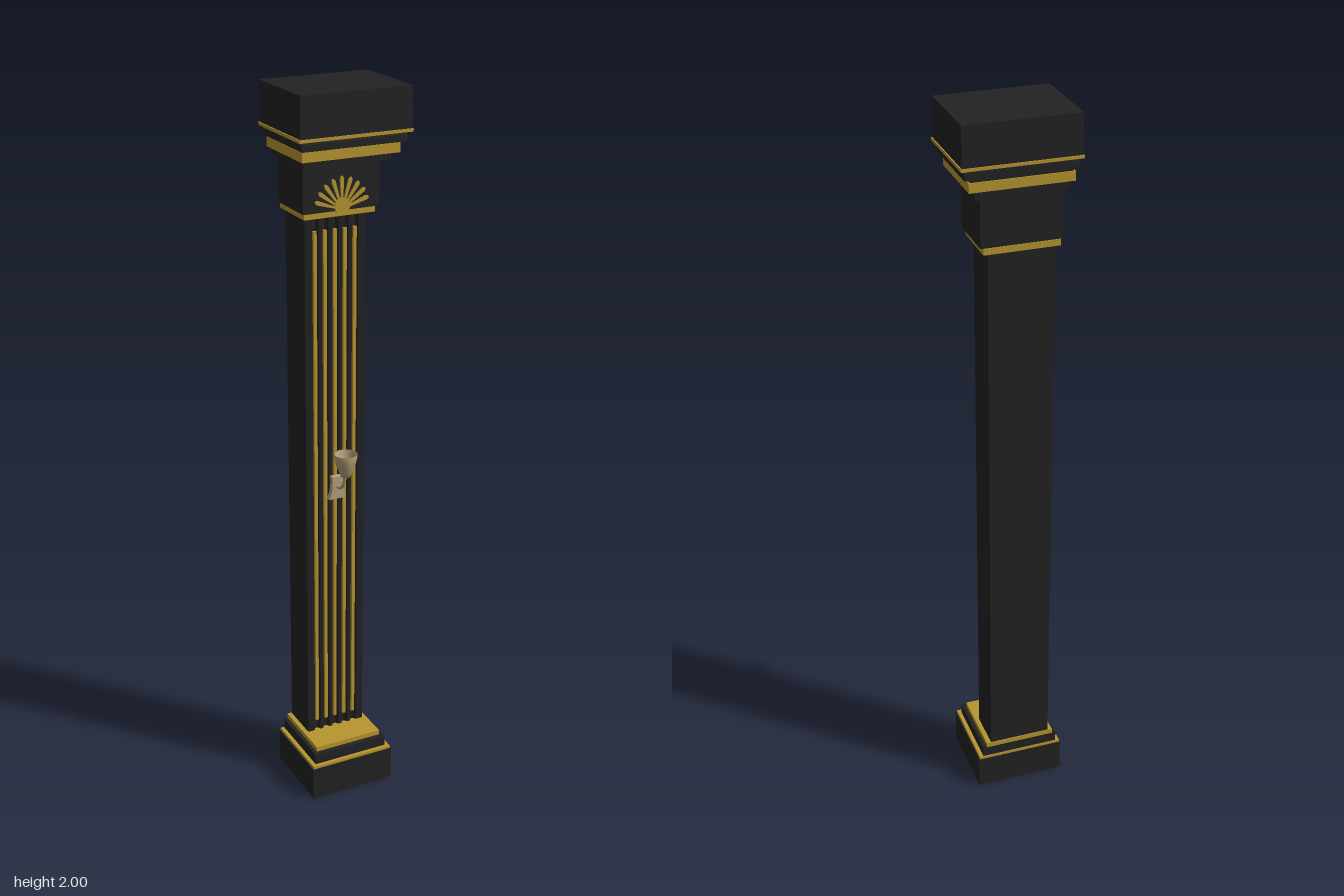
import * as THREE from 'three';

export function createModel() {
  const root = new THREE.Group();
  const black = new THREE.MeshStandardMaterial({ color: 0x222222 });
  black.name = 'black';
  const gold = new THREE.MeshStandardMaterial({ color: 0xb8962f });
  gold.name = 'gold';
  const cream = new THREE.MeshStandardMaterial({ color: 0xb5a17c, side: THREE.DoubleSide });
  cream.name = 'cream';

  const add = (name, geo, mat, parent = root) => {
    const mesh = new THREE.Mesh(geo, mat);
    mesh.name = name;
    parent.add(mesh);
    return mesh;
  };

  // Stacked slabs: name, half width, bottom, top, back z, front z, material
  const slabs = [
    ['plinth', 0.125, 0, 0.096, -0.116, 0.112, black],
    ['plinthTrim', 0.122, 0.096, 0.104, -0.1165, 0.109, gold],
    ['baseStep', 0.111, 0.104, 0.134, -0.114, 0.098, black],
    ['baseTrim', 0.1, 0.134, 0.148, -0.1145, 0.083, gold],
    ['neckTrim', 0.1, 1.67, 1.687, -0.117, 0.026, gold],
    ['capitalBlock', 0.107, 1.687, 1.811, -0.115, 0.035, black],
    ['capitalStep', 0.121, 1.811, 1.832, -0.115, 0.07, black],
    ['capitalTrim', 0.135, 1.832, 1.857, -0.117, 0.092, gold],
    ['corniceCore', 0.131, 1.857, 1.888, -0.114, 0.09, black],
    ['corniceStep', 0.145, 1.863, 1.88, -0.116, 0.113, black],
    ['corniceTrim', 0.155, 1.887, 1.895, -0.121, 0.121, gold],
    ['topBlock', 0.152, 1.895, 2, -0.118, 0.118, black],
  ];
  for (const [name, hw, y0, y1, z0, z1, mat] of slabs) {
    add(name, new THREE.BoxGeometry(hw * 2, y1 - y0, z1 - z0), mat)
      .position.set(0, (y0 + y1) / 2, (z0 + z1) / 2);
  }

  // Shaft with five rounded flutes along its front
  const flutes = [-2, -1, 0, 1, 2].map(i => i * 0.0285);
  const plan = new THREE.Shape();
  plan.moveTo(-0.087, 0.112);
  plan.lineTo(-0.087, 0);
  for (const x of flutes) {
    plan.lineTo(x - 0.009, 0);
    plan.absarc(x, 0, 0.009, Math.PI, 0, true);
  }
  plan.lineTo(0.087, 0);
  plan.lineTo(0.087, 0.112);
  const shaftGeo = new THREE.ExtrudeGeometry(plan, { depth: 1.524, bevelEnabled: false, curveSegments: 8 });
  shaftGeo.rotateX(-Math.PI / 2);
  const shaft = add('shaft', shaftGeo, black);
  shaft.position.y = 0.147;

  // Gold inlay rods lying in the flutes
  for (const x of flutes) {
    add('fluteInlay', new THREE.BoxGeometry(0.009, 1.45, 0.008), gold).position.set(x, 0.905, -0.004);
  }

  // Fan ornament on the capital
  const fan = new THREE.Group();
  fan.name = 'fanOrnament';
  fan.position.set(0, 1.69, 0.034);
  root.add(fan);
  const ray = new THREE.Shape();
  ray.moveTo(-0.002, 0.012);
  ray.lineTo(0.002, 0.012);
  ray.lineTo(0.0055, 0.078);
  ray.quadraticCurveTo(0, 0.094, -0.0055, 0.078);
  const rayGeo = new THREE.ExtrudeGeometry(ray, { depth: 0.005, bevelEnabled: false, curveSegments: 4 });
  for (let i = -4; i <= 4; i++) {
    const m = add('fanRay', rayGeo, gold, fan);
    m.rotation.z = i * 0.31;
    m.scale.y = 1 - Math.abs(i) * 0.018;
  }
  const hub = add('fanHub', new THREE.CylinderGeometry(0.021, 0.021, 0.007, 20), gold, fan);
  hub.rotation.x = Math.PI / 2;
  hub.position.set(0, 0.008, 0.0035);

  // Wall lamp: back plate, curved arm and open cup shade
  const lamp = new THREE.Group();
  lamp.name = 'wallLamp';
  root.add(lamp);
  const plate = new THREE.Shape();
  plate.moveTo(-0.026, 0.88);
  plate.lineTo(0.026, 0.88);
  plate.quadraticCurveTo(0.012, 0.905, 0.016, 0.945);
  plate.lineTo(-0.016, 0.945);
  plate.quadraticCurveTo(-0.012, 0.905, -0.026, 0.88);
  add('lampPlate', new THREE.ExtrudeGeometry(plate, { depth: 0.015, bevelEnabled: false, curveSegments: 6 }), cream, lamp);
  const armPath = new THREE.CatmullRomCurve3([
    [0.01, 0.915], [0.03, 0.918], [0.05, 0.936], [0.06, 0.968],
  ].map(([z, y]) => new THREE.Vector3(0, y, z)));
  add('lampArm', new THREE.TubeGeometry(armPath, 16, 0.0045, 8), cream, lamp);
  const cup = [[0, 0.962], [0.013, 0.965], [0.018, 0.978], [0.026, 0.998], [0.03, 1.015], [0.032, 1.03], [0.029, 1.03], [0.023, 0.998], [0.012, 0.972], [0, 0.97]];
  add('lampShade', new THREE.LatheGeometry(cup.map(([r, y]) => new THREE.Vector2(r, y)), 24), cream, lamp)
    .position.z = 0.062;

  return root;
}
